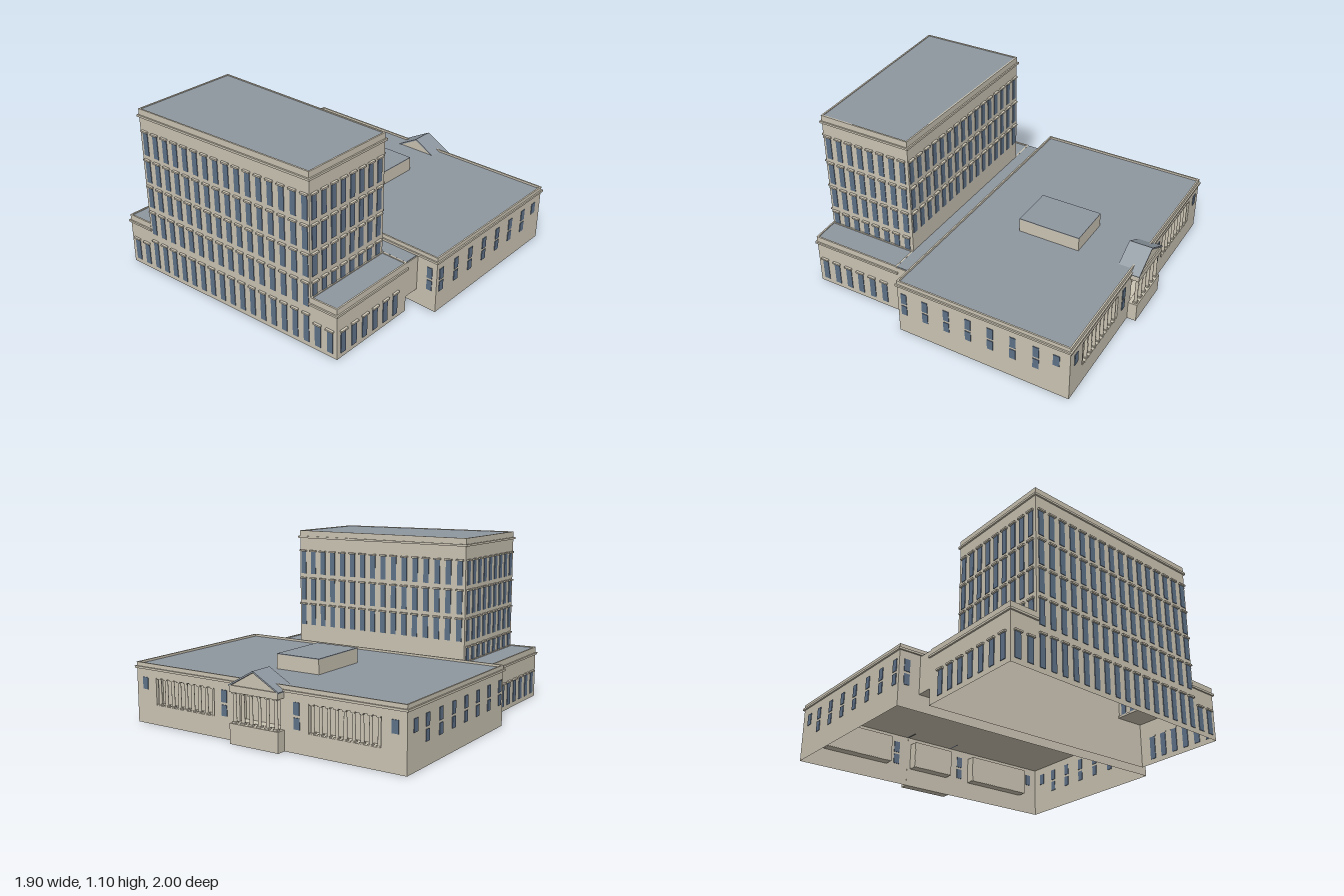
import * as THREE from 'three';

const mat = (name, color) => new THREE.MeshStandardMaterial({ name, color, side: THREE.DoubleSide });
const stone = mat('stone', 0xcbc4b3);
const slate = mat('slate', 0x8d969f);
const glass = mat('glass', 0x5f7289);

function add(parent, name, geo, material, x = 0, y = 0, z = 0) {
  const m = new THREE.Mesh(geo, material);
  m.name = name;
  m.position.set(x, y, z);
  parent.add(m);
  return m;
}
const box = (parent, name, material, w, h, d, x, y, z) =>
  add(parent, name, new THREE.BoxGeometry(w, h, d), material, x, y, z);

const spaced = (n, a, b) => Array.from({ length: n }, (_, i) => a + (b - a) * i / (n - 1));

// push the corners of a four-sided plan outwards
function grow(plan, d) {
  const cx = plan.reduce((s, p) => s + p[0], 0) / plan.length;
  const cz = plan.reduce((s, p) => s + p[1], 0) / plan.length;
  return plan.map(([x, z]) => [x + d * Math.sign(x - cx), z + d * Math.sign(z - cz)]);
}

// upright prism over a plan of [x, z] corners, optionally with a hole
function prism(parent, name, material, plan, y0, y1, hole) {
  const pts = (p) => p.map(([x, z]) => new THREE.Vector2(x, -z));
  const shape = new THREE.Shape(pts(plan));
  if (hole) shape.holes.push(new THREE.Path(pts(hole)));
  const geo = new THREE.ExtrudeGeometry(shape, { depth: y1 - y0, bevelEnabled: false });
  geo.rotateX(-Math.PI / 2);
  return add(parent, name, geo, material, 0, y0, 0);
}

// flat wall from corner a to corner b, outside towards local +z; holes are [x0, x1, y0, y1]
function wall(parent, name, a, b, y0, y1, holes = []) {
  const g = new THREE.Group();
  g.name = name;
  const dx = b[0] - a[0], dz = b[1] - a[1], len = Math.hypot(dx, dz);
  g.position.set(a[0], 0, a[1]);
  g.rotation.y = Math.atan2(-dz, dx);
  const rect = (C, l, r, lo, hi) => new C([[l, lo], [r, lo], [r, hi], [l, hi]].map(p => new THREE.Vector2(...p)));
  const shape = rect(THREE.Shape, 0, len, y0, y1);
  holes.forEach(h => shape.holes.push(rect(THREE.Path, ...h)));
  add(g, 'wallFace', new THREE.ShapeGeometry(shape), stone);
  g.userData.length = len;
  parent.add(g);
  return g;
}

// panes at each x and each [bottom, top] row, with a projecting lintel on top
function windows(g, xs, rows, w = 0.037, lintel = true) {
  for (const [lo, hi] of rows) for (const x of xs) {
    box(g, 'window', glass, w, hi - lo, 0.008, x, (lo + hi) / 2, 0);
    if (lintel) box(g, 'lintel', stone, w + 0.012, 0.01, 0.018, x, hi + 0.005, 0.006);
  }
}

// parapet rim, cornice and roof of a block
function crown(parent, plan, top, cornice, drop) {
  prism(parent, 'cornice', stone, grow(plan, 0.01), cornice, cornice + 0.013);
  prism(parent, 'parapet', stone, grow(plan, 0.001), cornice + 0.01, top, grow(plan, -0.009));
  prism(parent, 'roof', slate, grow(plan, -0.008), top - drop - 0.006, top - drop);
}

const BACK = 0.285;
const frontZ = (x) => 0.937 - 0.065 * x;

function frontBlock(root) {
  const g = new THREE.Group();
  g.name = 'officeBlock';
  root.add(g);
  const L = -0.807, l = -0.63, r = 0.622, R = 0.803;
  const F = (x) => [x, frontZ(x)], B = (x) => [x, BACK];
  const upper = [[0.27, 0.42], [0.46, 0.598], [0.63, 0.775], [0.81, 0.96]];
  const ground = [[0.03, 0.215]], wing = [[0.03, 0.175]];

  // tower walls
  const front = wall(g, 'towerFront', F(l), F(r), 0, 1.1);
  const cols = spaced(16, 0.038, front.userData.length - 0.03);
  windows(front, cols, [...ground, ...upper]);
  const back = wall(g, 'towerBack', B(r), B(l), 0, 1.1);
  windows(back, spaced(16, 0.03, back.userData.length - 0.038), upper.slice(1));
  const right = wall(g, 'towerRight', F(r), B(r), 0.29, 1.1);
  windows(right, spaced(8, 0.035, right.userData.length - 0.042), upper.slice(1));
  windows(right, spaced(8, 0.035, right.userData.length - 0.042), [[0.3, 0.42]]);
  const left = wall(g, 'towerLeft', B(l), F(l), 0.29, 1.1);
  windows(left, spaced(9, 0.042, left.userData.length - 0.04), [[0.3, 0.42], ...upper.slice(1)]);
  crown(g, [F(l), F(r), B(r), B(l)], 1.1, 1.05, 0.004);

  // low wings on both sides
  windows(wall(g, 'leftWingFront', F(r), F(R), 0, 0.335), [0.05, 0.135], wing, 0.04);
  windows(wall(g, 'rightWingFront', F(L), F(l), 0, 0.335), [0.047, 0.132], wing, 0.04);
  const sideR = wall(g, 'leftWingSide', F(R), B(R), 0, 0.335);
  windows(sideR, spaced(6, 0.05, sideR.userData.length - 0.1), wing, 0.04);
  const sideL = wall(g, 'rightWingSide', B(L), F(L), 0, 0.335);
  windows(sideL, spaced(7, 0.1, sideL.userData.length - 0.06), wing, 0.04);
  wall(g, 'leftWingBack', B(R), B(r), 0, 0.335);
  wall(g, 'rightWingBack', B(l), B(L), 0, 0.335);
  crown(g, [F(r), F(R), B(R), B(r)], 0.335, 0.285, 0.006);
  crown(g, [F(L), F(l), B(l), B(L)], 0.335, 0.285, 0.006);

  // raised link to the rear hall
  box(g, 'link', stone, R - L, 0.23, 0.11, (L + R) / 2, 0.215, 0.23);
  box(g, 'linkRoof', slate, R - L - 0.01, 0.006, 0.105, (L + R) / 2, 0.332, 0.231);
}

function rearHall(root) {
  const g = new THREE.Group();
  g.name = 'rearHall';
  root.add(g);
  const X = 0.942, z0 = -0.943, z1 = 0.18, top = 0.372;
  const pair = [[0.135, 0.2], [0.215, 0.287]], upperOnly = [[0.212, 0.285]];

  // plain walls with paired windows
  const front = wall(g, 'hallFront', [-X, z1], [X, z1], 0, top);
  windows(front, [0.05, 2 * X - 0.05], pair, 0.036, false);
  const sideXs = spaced(7, 0.043, 0.915);
  const right = wall(g, 'hallLeftSide', [X, z1], [X, z0], 0, top);
  windows(right, sideXs, pair, 0.038, false);
  windows(right, [1.04], upperOnly, 0.04, false);
  const left = wall(g, 'hallRightSide', [-X, z0], [-X, z1], 0, top);
  const len = left.userData.length;
  windows(left, sideXs.map(x => len - x), pair, 0.038, false);
  windows(left, [len - 1.04], upperOnly, 0.04, false);

  // rear wall with three recessed colonnades
  const y0 = 0.12, y1 = 0.29, depth = 0.06;
  const bays = [[0.33, 0.79, 9], [-0.145, 0.145, 0], [-0.79, -0.33, 9]].map(([a, b, n]) => [X - b, X - a, n]);
  const rear = wall(g, 'hallRear', [X, z0], [-X, z0], 0, top, bays.map(([a, b]) => [a, b, y0, y1]));
  for (const [a, b, n] of bays) {
    const w = b - a, c = (a + b) / 2, h = y1 - y0, m = (y0 + y1) / 2;
    box(rear, 'recessWall', stone, w, h, 0.004, c, m, -depth);
    for (const y of [y0, y1]) box(rear, 'recessSlab', stone, w, 0.004, depth, c, y, -depth / 2 - 0.001);
    for (const x of [a, b]) box(rear, 'recessEnd', stone, 0.004, h, depth, x, m, -depth / 2 - 0.001);
    if (n) for (const x of spaced(n, a + 0.02, b - 0.02)) column(rear, x, y0, y1, -0.016);
  }
  windows(rear, [X - 0.255, X + 0.255], pair, 0.04, false);
  windows(rear, [0.07, 2 * X - 0.07], upperOnly, 0.04, false);

  crown(g, [[-X, z0], [X, z0], [X, z1], [-X, z1]], top, 0.335, 0.014);

  // rooftop plant room
  box(g, 'plantRoom', stone, 0.3, 0.1, 0.405, 0, 0.395, -0.387);
  box(g, 'plantRoomRoof', slate, 0.3, 0.005, 0.405, 0, 0.4475, -0.387);

  // porch with columns, entablature and gable
  box(g, 'porchBase', stone, 0.34, y0, 0.058, 0, y0 / 2, -0.971);
  for (const x of spaced(6, -0.145, 0.145)) column(g, x, y0, 0.3, -0.979);
  box(g, 'entablature', stone, 0.34, 0.04, 0.056, 0, 0.318, -0.97);
  const gable = new THREE.Shape([[-0.165, 0.335], [0.165, 0.335], [0, 0.427]].map(p => new THREE.Vector2(...p)));
  add(g, 'pediment', new THREE.ExtrudeGeometry(gable, { depth: 0.135, bevelEnabled: false }), stone, 0, 0, -0.99);
  for (const s of [-1, 1]) {
    const slope = Math.atan2(0.097, 0.175);
    const p = box(g, 'gableRoof', slate, 0.2, 0.009, 0.148, s * 0.0875, 0.384, -0.926);
    p.rotation.z = -s * slope;
  }
}

// round column with base and capital
function column(parent, x, y0, y1, z) {
  const h = y1 - y0, c = new THREE.Group();
  c.name = 'column';
  c.position.set(x, y0, z);
  add(c, 'shaft', new THREE.CylinderGeometry(0.009, 0.011, h, 10), stone, 0, h / 2, 0);
  for (const y of [0.005, h - 0.005]) box(c, 'columnBlock', stone, 0.027, 0.01, 0.027, 0, y, 0);
  parent.add(c);
}

export function createModel() {
  const root = new THREE.Group();
  root.name = 'civicBuilding';
  frontBlock(root);
  rearHall(root);
  return root;
}
